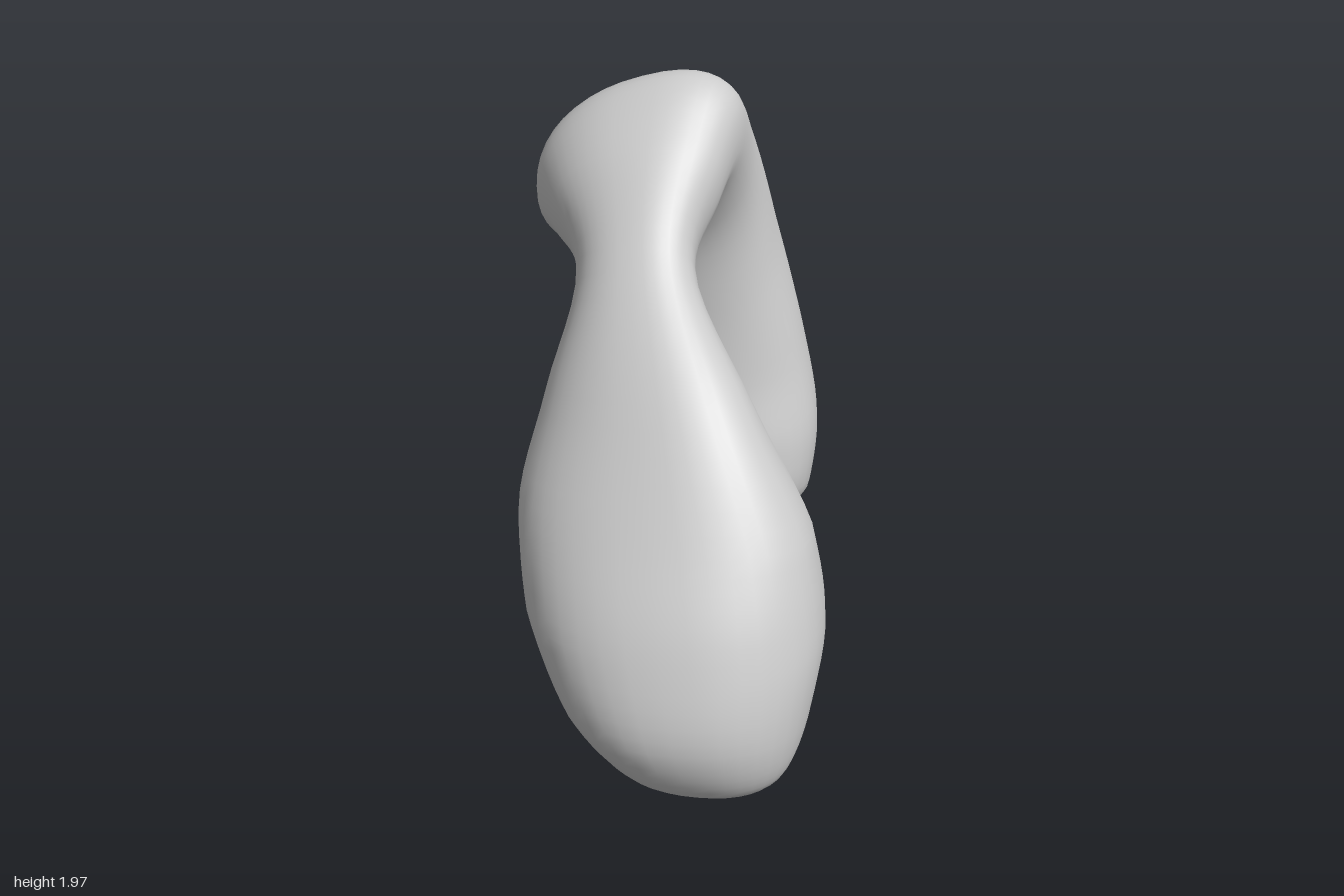
import * as THREE from 'three';

// Stations along the arch, front lobe to back lobe:
// [outer z, outer y, inner z, inner y, x min, x max, shear]
const STATIONS = [
  [0.78, 0.01, 0.63, 0.02, 0.10, 0.33, 0],
  [0.92, 0.09, 0.45, 0.08, -0.08, 0.45, 0],
  [0.99, 0.28, 0.24, 0.20, -0.25, 0.51, 0],
  [0.92, 0.55, 0.09, 0.48, -0.39, 0.54, 0.05],
  [0.77, 0.82, 0.09, 0.72, -0.43, 0.49, 0.15],
  [0.52, 1.18, 0.05, 1.03, -0.37, 0.29, 0.3],
  [0.17, 1.55, -0.06, 1.32, -0.30, 0.08, 0.2],
  [-0.08, 1.83, -0.16, 1.40, -0.42, 0.14, 0.25],
  [-0.30, 1.965, -0.24, 1.41, -0.48, 0.19, 0.35],
  [-0.56, 1.82, -0.34, 1.34, -0.43, 0.22, 0.2],
  [-0.82, 1.50, -0.37, 1.10, -0.39, 0.29, 0],
  [-0.92, 1.03, -0.36, 0.82, -0.45, 0.39, 0],
  [-1.00, 0.63, -0.32, 0.57, -0.54, 0.45, -0.1],
  [-0.97, 0.36, -0.32, 0.39, -0.50, 0.43, -0.1],
  [-0.88, 0.20, -0.50, 0.25, -0.27, 0.32, 0],
  [-0.78, 0.16, -0.66, 0.18, -0.06, 0.16, 0],
];
const RINGS = 90, SIDES = 40;

// Soft swellings: [centre x, y, z, radius, push along z]
const BUMPS = [
  [0.28, 0.55, 0.09, 0.22, -0.06],
  [-0.12, 1.12, -0.36, 0.25, -0.04],
];

const curveOf = pick => new THREE.CatmullRomCurve3(
  STATIONS.map(s => new THREE.Vector3(...pick(s))));
const soft = v => Math.sign(v) * Math.pow(Math.abs(v), 0.86);

function archGeometry() {
  const outer = curveOf(s => [s[6], s[1], s[0]]);
  const inner = curveOf(s => [0, s[3], s[2]]);
  const width = curveOf(s => [s[4], s[5], 0]);
  const points = [], index = [], centres = [];

  // Sheared oval cross-sections
  for (let i = 0; i <= RINGS; i++) {
    const o = outer.getPoint(i / RINGS), n = inner.getPoint(i / RINGS), w = width.getPoint(i / RINGS);
    const shear = o.x, keep = Math.sqrt(1 - shear * shear);
    const c = new THREE.Vector3((w.x + w.y) / 2, (o.y + n.y) / 2, (o.z + n.z) / 2);
    centres.push(c);
    for (let j = 0; j < SIDES; j++) {
      const t = j / SIDES * Math.PI * 2;
      const u = soft(Math.cos(t)), v = keep * soft(Math.sin(t)) + shear * u;
      points.push(new THREE.Vector3(
        c.x + u * (w.y - w.x) / 2,
        c.y + v * (o.y - n.y) / 2,
        c.z + v * (o.z - n.z) / 2));
    }
  }
  for (const p of points) {
    for (const [x, y, z, r, push] of BUMPS) {
      const d2 = (p.x - x) ** 2 + (p.y - y) ** 2 + (p.z - z) ** 2;
      p.z += push * Math.exp(-d2 / (r * r));
    }
  }

  // Skin between rings
  for (let i = 0; i < RINGS; i++) {
    for (let j = 0; j < SIDES; j++) {
      const k = (j + 1) % SIDES;
      const a = i * SIDES + j, b = i * SIDES + k, c = a + SIDES, d = b + SIDES;
      index.push(a, c, b, b, c, d);
    }
  }
  // Rounded tips
  const first = points.length, last = first + 1, base = RINGS * SIDES;
  points.push(centres[0].clone().setY(0), centres[RINGS].clone().setY(0.155));
  for (let j = 0; j < SIDES; j++) {
    const k = (j + 1) % SIDES;
    index.push(first, j, k, last, base + k, base + j);
  }

  const g = new THREE.BufferGeometry().setFromPoints(points);
  g.setIndex(index);
  g.computeVertexNormals();
  return g;
}

export function createModel() {
  const model = new THREE.Group();
  model.name = 'archedBody';
  const arch = new THREE.Mesh(archGeometry(), new THREE.MeshStandardMaterial({ color: 0xcccccc }));
  arch.name = 'twoLobedArch';
  model.add(arch);
  return model;
}
